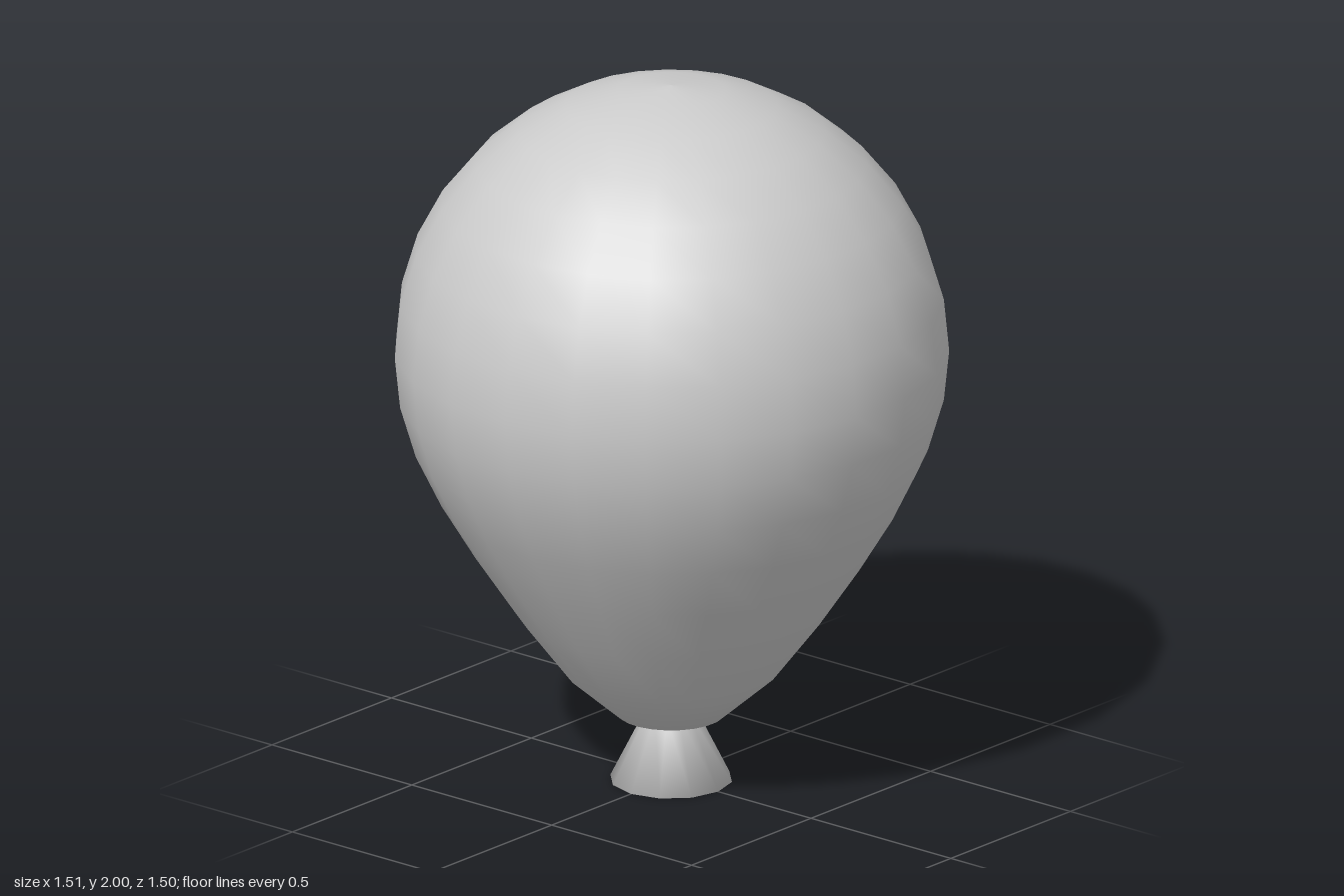
import * as THREE from 'three';

const material = new THREE.MeshStandardMaterial({ color: 0xcccccc });

// Smooth solid of revolution, with its first column of vertices at the back
function turned(name, points, sides) {
  const profile = points.map(([r, y]) => new THREE.Vector2(r, y));
  const mesh = new THREE.Mesh(new THREE.LatheGeometry(profile, sides, Math.PI), material);
  mesh.name = name;
  return mesh;
}

export function createModel() {
  const group = new THREE.Group();
  group.name = 'balloon';

  // Envelope: a sphere of 16 rings whose lower half is stretched to a taper
  const radius = 0.756, middle = 1.24, rings = 16;
  const lowerHeights = [0.162, 0.19, 0.314, 0.485, 0.655, 0.81, 0.954, 1.098];
  const envelope = [];
  for (let i = 0; i <= rings; i++) {
    const a = (i / rings) * Math.PI;
    const y = i < 8 ? lowerHeights[i] : middle - 0.76 * Math.cos(a);
    envelope.push([i % rings ? radius * Math.sin(a) : 0, y]);
  }
  group.add(turned('envelope', envelope, 23));

  // Flared knot, closed below and running up into the envelope
  group.add(turned('knot', [[0, 0], [0.168, 0], [0.068, 0.2]], 12));

  return group;
}
